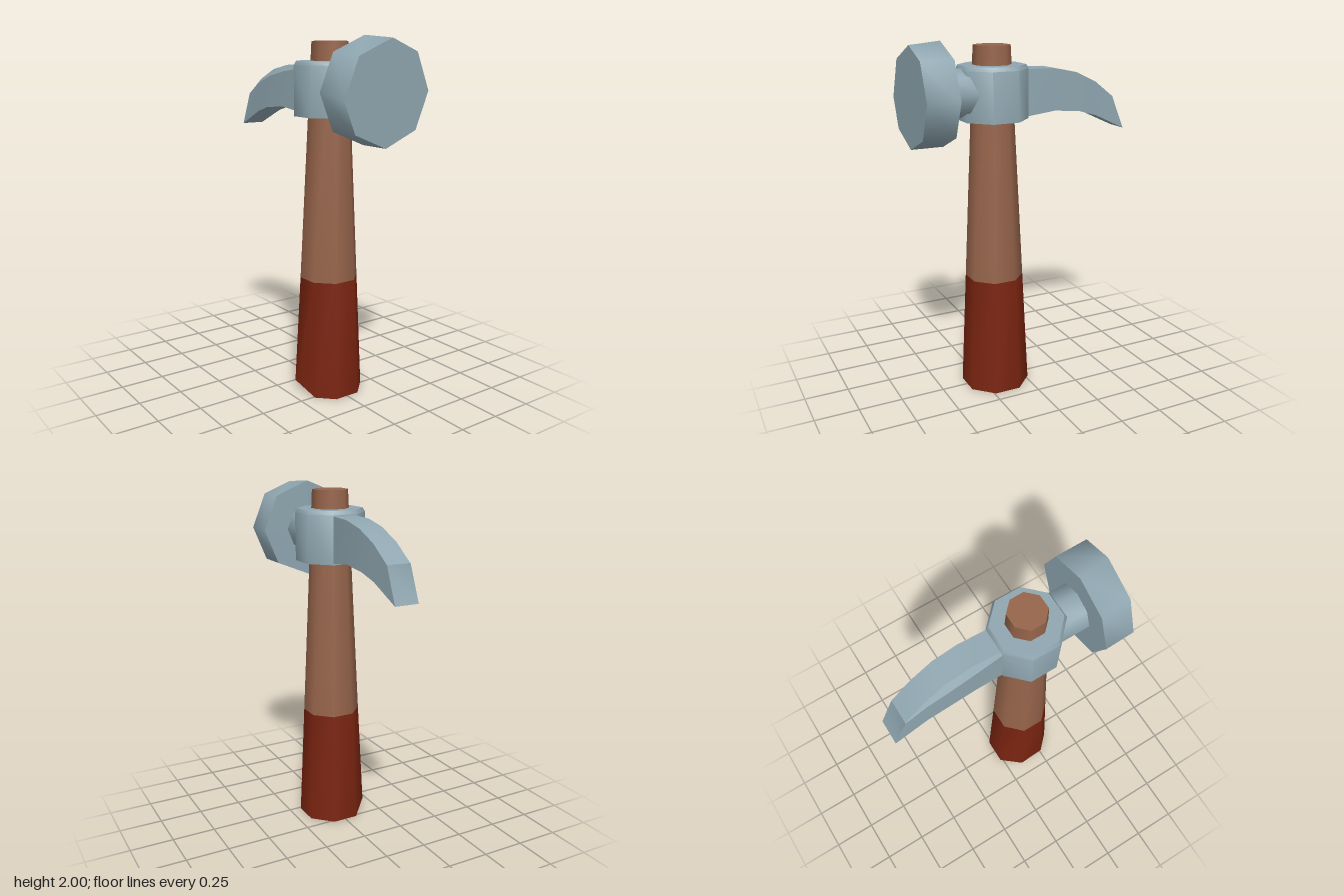
import * as THREE from 'three';
import { toCreasedNormals } from 'three/addons/utils/BufferGeometryUtils.js';

const steel = new THREE.MeshStandardMaterial({ name: 'steel', color: 0x8fa6b0 });
const wood = new THREE.MeshStandardMaterial({ name: 'wood', color: 0x96644a });
const grip = new THREE.MeshStandardMaterial({ name: 'redGrip', color: 0x7a2410 });

const HANDLE_X = 0.165; // handle axis
const HEAD_Y = 1.722; // axis of neck and striking face
const FLAT = Math.cos(Math.PI / 8); // octagon flat-to-corner ratio

function part(name, geometry, material, crease = 0.9) {
  const mesh = new THREE.Mesh(toCreasedNormals(geometry, crease), material);
  mesh.name = name;
  return mesh;
}

// Nudge the corner nearest each "from" point, to give worn edges
function chip(geometry, moves) {
  const pos = geometry.attributes.position;
  const v = new THREE.Vector3();
  for (const [from, to] of moves) {
    const target = new THREE.Vector3(...from);
    for (let i = 0; i < pos.count; i++) {
      if (v.fromBufferAttribute(pos, i).distanceTo(target) < 0.03) pos.setXYZ(i, ...to);
    }
  }
  return geometry;
}

// Tapered octagonal length of handle, flat sides facing the axes
function handlePart(y0, y1) {
  const radius = (y) => (0.181 - 0.0445 * y) / FLAT;
  return new THREE.CylinderGeometry(radius(y1), radius(y0), y1 - y0, 8, 1, false, Math.PI / 8)
    .translate(HANDLE_X, (y0 + y1) / 2, 0);
}

// Octagonal drum along x, corners facing the axes
function drum(x0, x1, radius) {
  return new THREE.CylinderGeometry(radius, radius, x1 - x0, 8)
    .rotateZ(-Math.PI / 2)
    .translate((x0 + x1) / 2, HEAD_Y, 0);
}

// Curved claw lofted through five-cornered sections
function clawGeometry() {
  // top x, top y, bottom x, bottom y, half width, bevel of the front top edge
  const sections = [
    [0.02, 1.84, 0.02, 1.58, 0.073, 0.01],
    [-0.17, 1.838, -0.18, 1.605, 0.082, 0.028],
    [-0.31, 1.81, -0.34, 1.59, 0.083, 0.03],
    [-0.44, 1.75, -0.45, 1.558, 0.076, 0.018],
    [-0.56, 1.66, -0.64, 1.47, 0.069, 0.003],
  ];
  const points = [];
  const index = [];
  for (const [tx, ty, bx, by, w, b] of sections) {
    points.push(tx, ty, -w, tx, ty, w - b, tx, ty - b * 1.3, w, bx, by, w, bx, by, -w);
  }
  for (let i = 0; i < sections.length - 1; i++) {
    for (let j = 0; j < 5; j++) {
      const a = i * 5 + j;
      const b = i * 5 + ((j + 1) % 5);
      index.push(a, a + 5, b + 5, a, b + 5, b);
    }
  }
  const e = (sections.length - 1) * 5;
  for (let j = 1; j < 4; j++) index.push(e, e + j + 1, e + j); // blunt tip
  const geometry = new THREE.BufferGeometry();
  geometry.setAttribute('position', new THREE.Float32BufferAttribute(points, 3));
  geometry.setIndex(index);
  return geometry;
}

export function createModel() {
  const hammer = new THREE.Group();
  hammer.name = 'hammer';

  // Handle: red grip with a worn bottom corner, then bare wood up through the head
  const gripGeometry = chip(handlePart(0, 0.67), [
    [[0.09, 0, 0.181], [0.09, 0.05, 0.181]],
    [[0.24, 0, 0.181], [0.26, 0, 0.162]],
  ]);
  hammer.add(part('grip', gripGeometry, grip));
  hammer.add(part('handle', handlePart(0.67, 1.97), wood));

  // Collar around the handle, with a small bevel on top
  const profile = [[0.05, 1.575], [0.182, 1.575], [0.182, 1.845], [0.17, 1.867], [0.05, 1.867]]
    .map(([r, y]) => new THREE.Vector2(r / FLAT, y));
  const collar = new THREE.LatheGeometry(profile, 8, Math.PI / 8).translate(HANDLE_X, 0, 0);
  hammer.add(part('collar', collar, steel));

  // Neck and striking face with a worn front edge
  hammer.add(part('neck', drum(0.2, 0.47, 0.131), steel));
  const face = chip(drum(0.455, 0.635, 0.277), [
    [[0.635, 1.999, 0], [0.635, 1.985, -0.03]],
    [[0.635, 1.918, 0.196], [0.635, 1.9, 0.178]],
    [[0.635, 1.722, 0.277], [0.635, 1.69, 0.263]],
  ]);
  hammer.add(part('strikingFace', face, steel));

  hammer.add(part('claw', clawGeometry(), steel, 0.5));
  return hammer;
}
